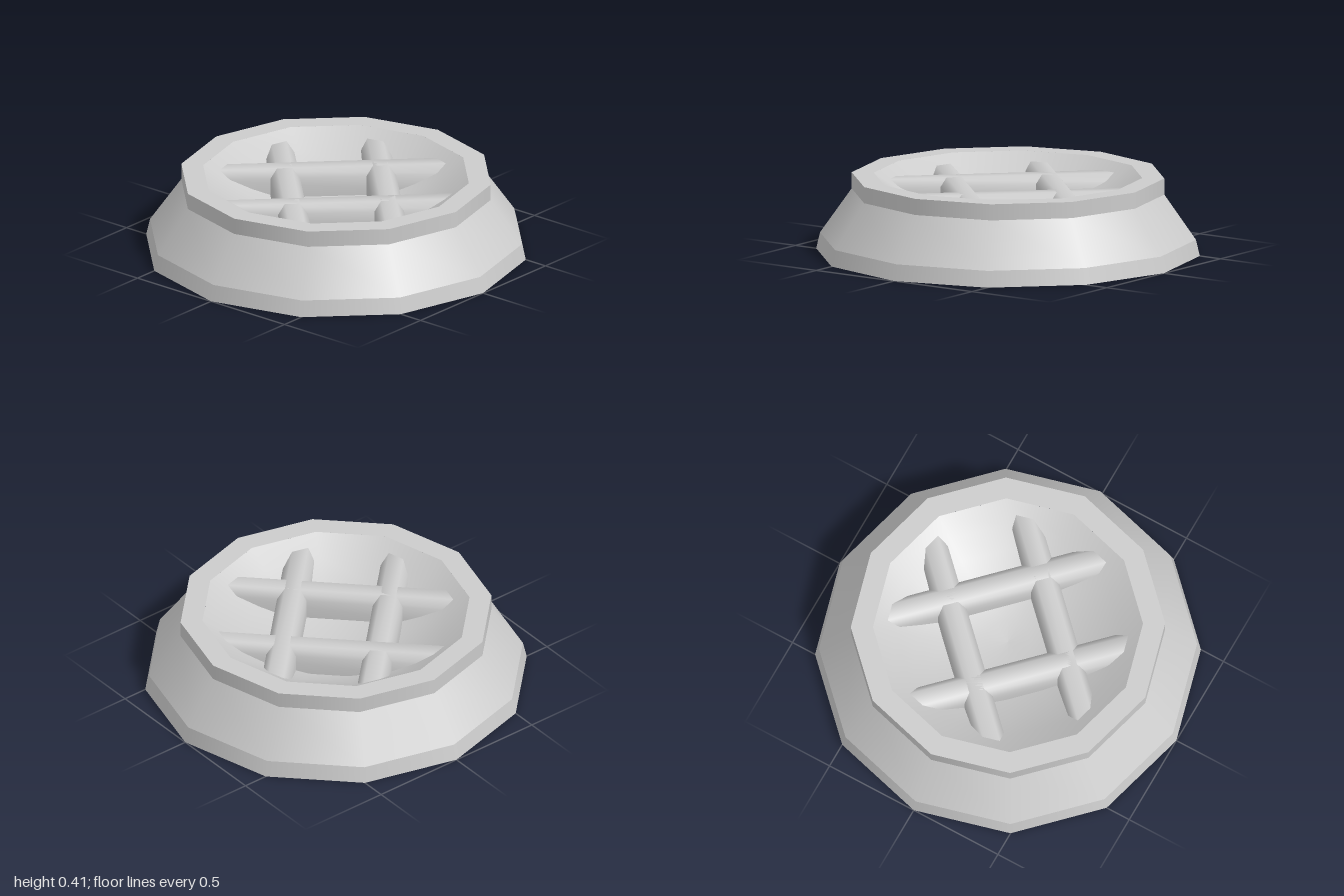
import * as THREE from 'three';

const SIDES = 12;
const material = new THREE.MeshStandardMaterial({ color: 0xcccccc, side: THREE.DoubleSide });

// Twelve-sided surface of revolution from [radius, height] points
function lathe(name, profile) {
  const points = profile.map(([r, y]) => new THREE.Vector2(r, y));
  const mesh = new THREE.Mesh(new THREE.LatheGeometry(points, SIDES), material);
  mesh.name = name;
  return mesh;
}

// Arched bar along z, open underneath and at the ends
function barGeometry(length) {
  const section = [
    [-0.077, 0.215], [-0.077, 0.32], [-0.04, 0.363],
    [0.04, 0.363], [0.077, 0.32], [0.077, 0.215],
  ];
  const columns = section.length;
  const geometry = new THREE.PlaneGeometry(1, 1, columns - 1, 1);
  const position = geometry.attributes.position;
  for (let i = 0; i < position.count; i++) {
    const [x, y] = section[i % columns];
    position.setXYZ(i, x, y, (i < columns ? -0.5 : 0.5) * length);
  }
  geometry.computeVertexNormals();
  return geometry;
}

export function createModel() {
  const model = new THREE.Group();
  model.name = 'grate';

  // Outer shell: each band is separate so the edges between them stay sharp
  const shell = [
    ['foot', [1, 0], [0.98, 0.085]],
    ['skirt', [0.98, 0.085], [0.815, 0.32]],
    ['collar', [0.815, 0.32], [0.815, 0.405]],
    ['rim', [0.815, 0.405], [0.7, 0.405]],
  ];
  for (const [name, lower, upper] of shell) model.add(lathe(name, [lower, upper]));

  // Shallow bowl inside the rim
  const bowl = [];
  for (let i = 0; i <= 6; i++) {
    const r = 0.7 * (1 - i / 6);
    bowl.push([r, 0.155 + 0.51 * r * r]);
  }
  model.add(lathe('bowl', bowl));

  // Two crossing pairs of diagonal bars
  const geometry = barGeometry(1.37);
  for (const angle of [Math.PI / 4, -Math.PI / 4]) {
    const pair = new THREE.Group();
    pair.name = 'barPair';
    pair.rotation.y = angle;
    for (const side of [-1, 1]) {
      const bar = new THREE.Mesh(geometry, material);
      bar.name = 'bar';
      bar.position.x = side * 0.25;
      pair.add(bar);
    }
    model.add(pair);
  }
  return model;
}
